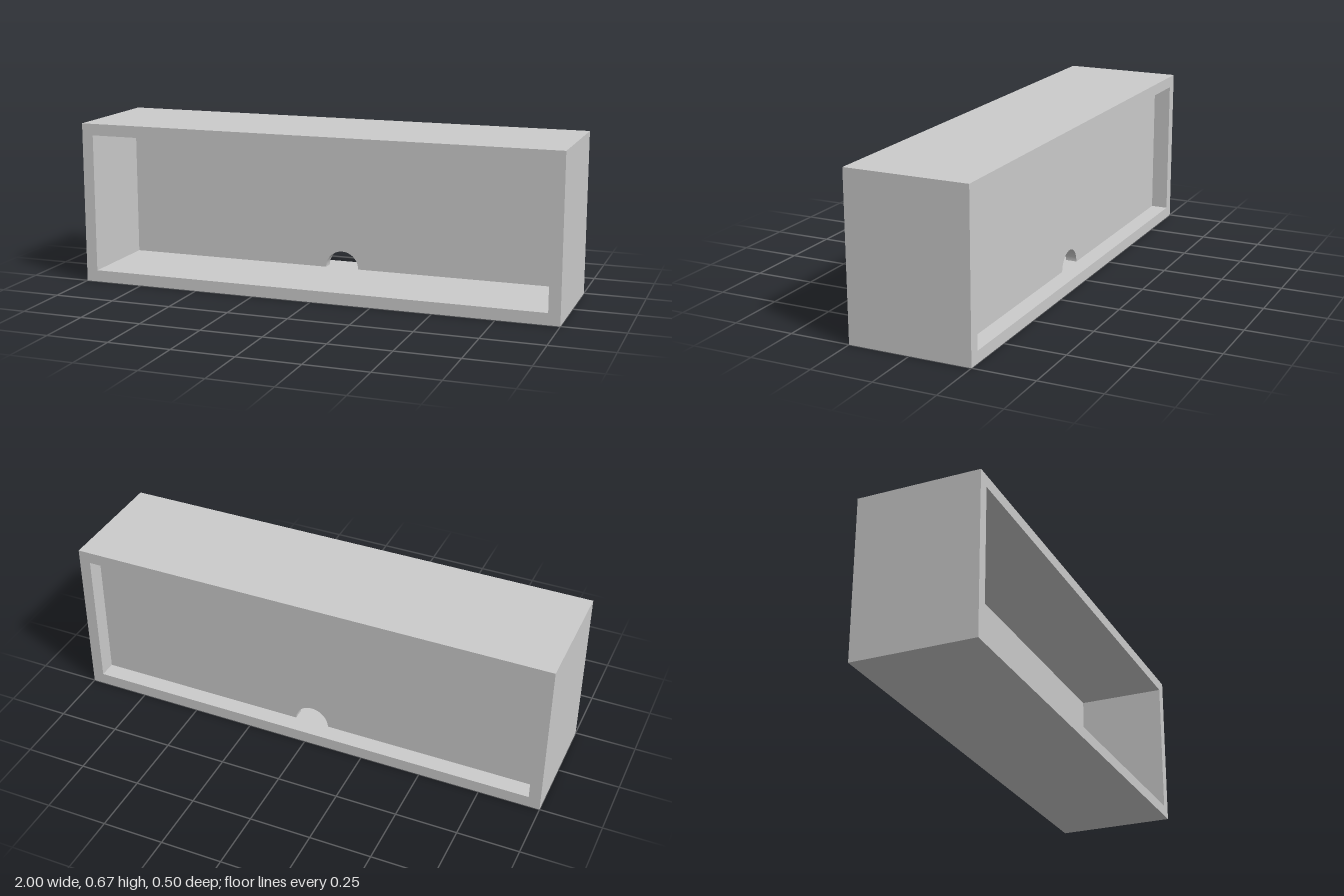
import * as THREE from 'three';

const U = 1 / 21; // wall thickness, the base unit of all sizes
const W = 42 * U, H = 14 * U, D = 10.5 * U;

export function createModel() {
  const group = new THREE.Group();
  const material = new THREE.MeshStandardMaterial({ color: 0xcccccc, flatShading: true });

  const add = (name, shape, depth, z) => {
    const geometry = new THREE.ExtrudeGeometry(shape, { depth, bevelEnabled: false, curveSegments: 32 });
    const mesh = new THREE.Mesh(geometry, material);
    mesh.name = name;
    mesh.position.z = z;
    group.add(mesh);
  };

  // outer case: rectangular tube open at front and back
  const x = W / 2, xi = x - U, top = H - U;
  const frame = new THREE.Shape([[-x, 0], [x, 0], [x, H], [-x, H]].map(p => new THREE.Vector2(...p)));
  frame.holes.push(new THREE.Path([[-xi, U], [-xi, top], [xi, top], [xi, U]].map(p => new THREE.Vector2(...p))));
  add('case', frame, D, -D / 2);

  // recessed back panel with a half-round cable notch at the floor
  const r = 1.5 * U;
  const panel = new THREE.Shape();
  panel.moveTo(-xi, U);
  panel.lineTo(-r, U);
  panel.absarc(0, U, r, Math.PI, 0, true);
  panel.lineTo(xi, U);
  panel.lineTo(xi, top);
  panel.lineTo(-xi, top);
  panel.closePath();
  add('backPanel', panel, U, -D / 2 + 1.5 * U);

  return group;
}
